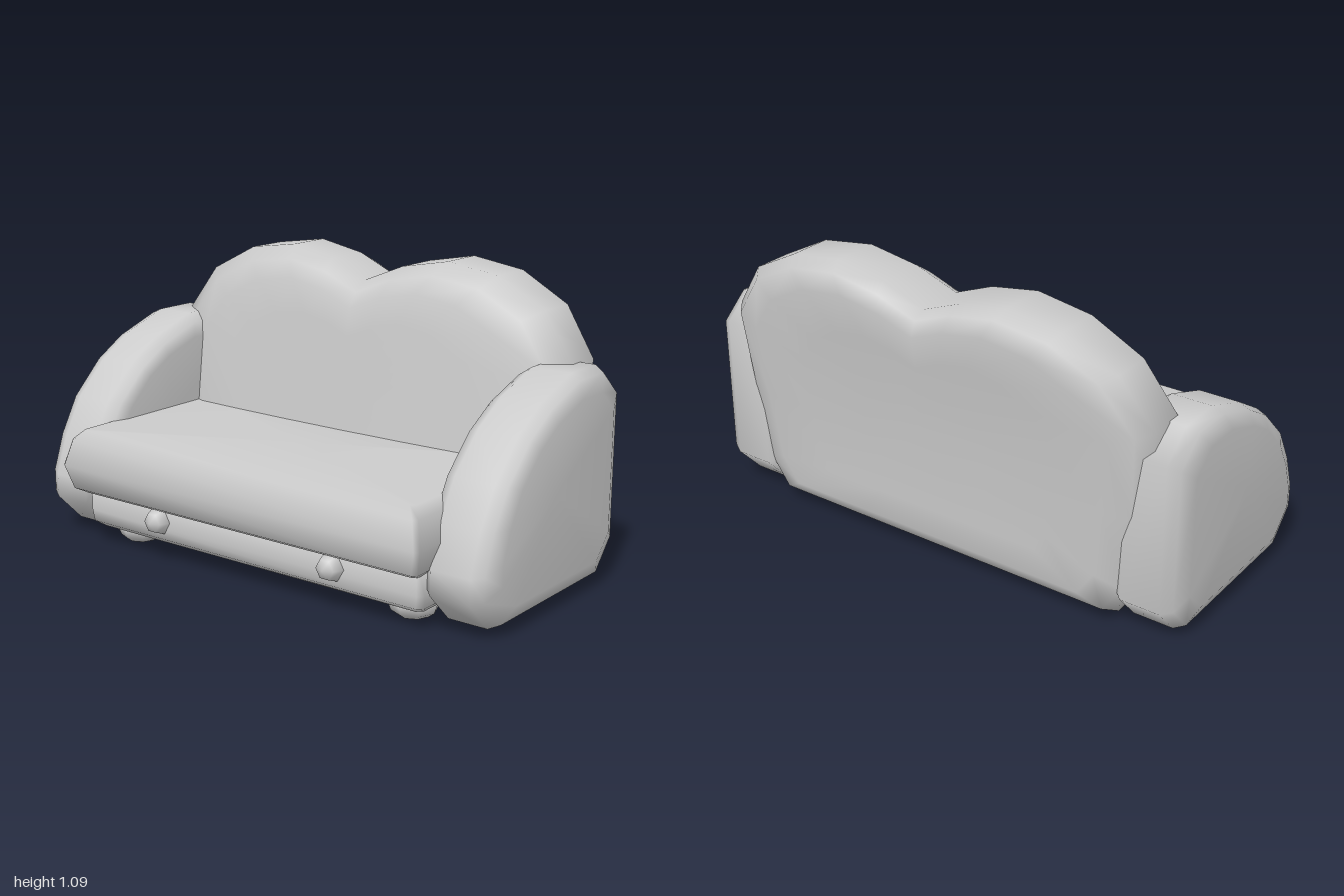
import * as THREE from 'three';

const material = new THREE.MeshStandardMaterial({ color: 0xcccccc, roughness: 0.8 });

// Closed smooth skin over a stack of equal-length rings, capped at both ends
function loft(rings) {
  const n = rings[0].length, pos = rings.flat(2), index = [];
  const cap = (ring) => {
    const c = [0, 1, 2].map((k) => ring.reduce((s, p) => s + p[k], 0) / n);
    pos.push(...c);
    return pos.length / 3 - 1;
  };
  const c0 = cap(rings[0]), c1 = cap(rings[rings.length - 1]);
  const last = (rings.length - 1) * n;
  for (let i = 0; i < n; i++) {
    const j = (i + 1) % n;
    for (let r = 0; r < last; r += n) {
      index.push(r + i, r + j, r + n + j, r + i, r + n + j, r + n + i);
    }
    index.push(c0, j, i, c1, last + i, last + j);
  }
  // Turn the faces outward if the enclosed volume comes out negative
  const at = (k) => new THREE.Vector3(...pos.slice(k * 3, k * 3 + 3));
  let volume = 0;
  for (let i = 0; i < index.length; i += 3) {
    volume += at(index[i]).dot(at(index[i + 1]).cross(at(index[i + 2])));
  }
  if (volume < 0) index.reverse();
  const geo = new THREE.BufferGeometry();
  geo.setAttribute('position', new THREE.Float32BufferAttribute(pos, 3));
  geo.setIndex(index);
  geo.computeVertexNormals();
  return geo;
}

// Horizontal rectangle with cut corners
function slabRing(y, hx, zFront, zBack, c) {
  return [
    [hx, zFront - c], [hx - c, zFront], [c - hx, zFront], [-hx, zFront - c],
    [-hx, zBack + c], [c - hx, zBack], [hx - c, zBack], [hx, zBack + c],
  ].map(([x, z]) => [x, y, z]);
}

// Padded arm: side profile (z, y) swept across its width with shrunken ends
function armGeometry(side) {
  const profile = [
    [0.32, 0.03], [-0.34, 0.03], [-0.44, 0.14], [-0.44, 0.69], [-0.33, 0.785], [-0.16, 0.785],
    [0.03, 0.72], [0.165, 0.64], [0.3, 0.51], [0.38, 0.37], [0.43, 0.23], [0.43, 0.14],
  ];
  const steps = [[0.725, 0.78], [0.742, 0.92], [0.785, 1], [0.935, 1], [0.975, 0.95], [1, 0.8]];
  return loft(steps.map(([x, s]) =>
    profile.map(([z, y]) => [side * x, 0.4 + (y - 0.4) * s, -0.02 + (z + 0.02) * s])));
}

// Two-humped backrest, leaning backwards, with rounded rim
function backGeometry() {
  const half = [
    [0.16, 1.05], [0.35, 1.085], [0.56, 1.055], [0.755, 0.955], [0.88, 0.78],
    [0.86, 0.45], [0.82, 0.15], [0.74, 0.035],
  ];
  const outline = [
    [0, 0.985], ...half, [0.35, 0.035], [0, 0.035], [-0.35, 0.035],
    ...half.slice().reverse().map(([x, y]) => [-x, y]),
  ];
  const front = (x, y) => -0.115 - 0.14 * (y - 0.44) - 0.04 * x * x;
  const rear = (x, y) => -0.45 - 0.09 * y * y;
  const steps = [
    [0.3, front, 0], [0.6, front, 0], [0.81, front, 0], [0.92, front, -0.03], [1, front, -0.085],
    [1, rear, 0.085], [0.95, rear, 0.03], [0.84, rear, 0], [0.6, rear, 0], [0.3, rear, 0],
  ];
  return loft(steps.map(([s, plane, dz]) => outline.map(([px, py]) => {
    const x = px * s, y = 0.5 + (py - 0.5) * s;
    return [x, y, plane(x, y) + dz];
  })));
}

export function createModel() {
  const group = new THREE.Group();
  const add = (name, geometry, x = 0, y = 0, z = 0) => {
    const mesh = new THREE.Mesh(geometry, material);
    mesh.name = name;
    mesh.position.set(x, y, z);
    group.add(mesh);
  };

  add('backrest', backGeometry());

  // Seat cushion with a bulging rim
  add('seatCushion', loft([
    [0.2, 0.75, 0.46], [0.225, 0.778, 0.505], [0.315, 0.802, 0.53],
    [0.41, 0.778, 0.505], [0.445, 0.745, 0.47],
  ].map(([y, hx, zf]) => slabRing(y, hx, zf, -0.25, 0.015))));

  // Base under the cushion
  add('base', loft([
    [0.06, 0.73, 0.4], [0.085, 0.755, 0.435], [0.13, 0.76, 0.44], [0.25, 0.76, 0.44],
  ].map(([y, hx, zf]) => slabRing(y, hx, zf, -0.36, 0.02))));

  // Squat round feet
  const foot = new THREE.LatheGeometry([
    [0, 0], [0.055, 0], [0.08, 0.018], [0.092, 0.05], [0.08, 0.09], [0, 0.09],
  ].map(([r, y]) => new THREE.Vector2(r, y)), 8);
  // Six-sided knobs facing forward
  const knob = new THREE.SphereGeometry(0.053, 6, 4).rotateX(Math.PI / 2);

  for (const side of [-1, 1]) {
    const label = side > 0 ? 'left' : 'right';
    add(label + 'Arm', armGeometry(side));
    add(label + 'Knob', knob, side * 0.395, 0.155, 0.44);
    add(label + 'FrontFoot', foot, side * 0.63, 0, 0.29);
    add(label + 'BackFoot', foot, side * 0.63, 0, -0.265);
  }
  return group;
}
